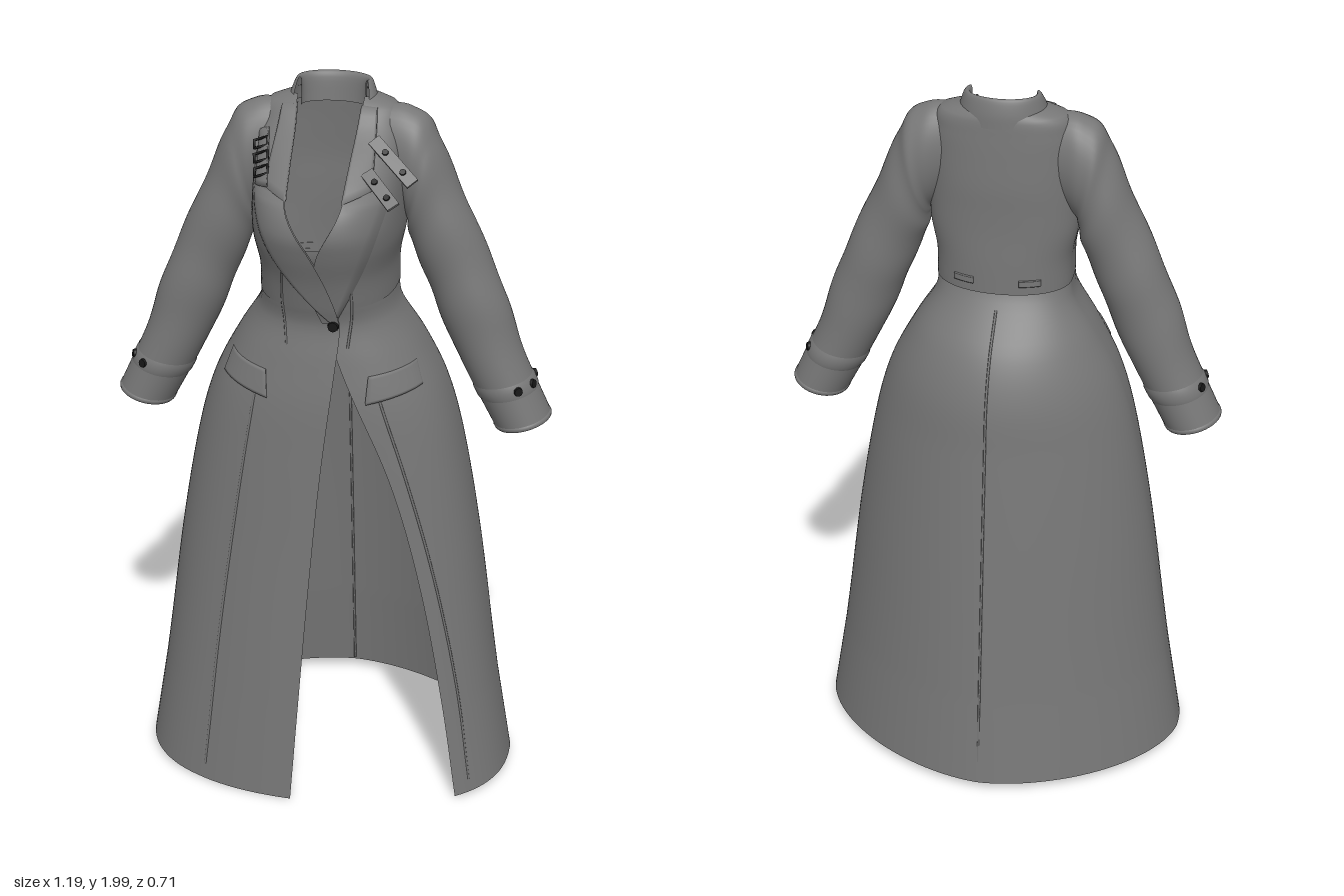
import * as THREE from 'three';

const cloth = new THREE.MeshStandardMaterial({ color: 0x777777, side: THREE.DoubleSide });
const dark = new THREE.MeshStandardMaterial({ color: 0x161616 });
const N = 2.5; // squareness of the front half of each cross-section

// Smooth interpolation of table rows, keyed by their first value
function sample(table, k) {
  const last = table.length - 1;
  k = Math.min(Math.max(k, table[0][0]), table[last][0]);
  let i = 0;
  while (i < last - 1 && k > table[i + 1][0]) i++;
  const a = table[i], b = table[i + 1], p = table[Math.max(i - 1, 0)], q = table[Math.min(i + 2, last)];
  const h = b[0] - a[0], t = (k - a[0]) / h, t2 = t * t, t3 = t2 * t;
  return a.slice(1).map((v, j) => {
    const c = j + 1;
    const m0 = (b[c] - p[c]) / (b[0] - p[0]) * h, m1 = (q[c] - a[c]) / (q[0] - a[0]) * h;
    return v * (2 * t3 - 3 * t2 + 1) + m0 * (t3 - 2 * t2 + t) + b[c] * (3 * t2 - 2 * t3) + m1 * (t3 - t2);
  });
}

// Cross-sections: height, half width, front z, back z, side z, squareness of the back half
const SKIRT = [
  [0, 0.52, 0.346, -0.355, 0.03, 1.68], [0.39, 0.463, 0.325, -0.313, 0.03, 1.7], [0.76, 0.411, 0.305, -0.272, 0.03, 1.75],
  [1.05, 0.357, 0.292, -0.238, 0.03, 1.8], [1.2, 0.312, 0.284, -0.218, 0.03, 1.85], [1.32, 0.25, 0.268, -0.17, 0.03, 1.95],
  [1.42, 0.188, 0.254, -0.09, 0.03, 2], [1.47, 0.178, 0.268, -0.06, 0.03, 2], [1.52, 0.172, 0.28, -0.055, 0.03, 2],
];
const BODICE = [
  [1.47, 0.18, 0.268, -0.093, 0.03, 2.1], [1.55, 0.18, 0.29, -0.09, 0.03, 2.2], [1.63, 0.195, 0.318, -0.086, 0.03, 2.2],
  [1.69, 0.197, 0.329, -0.085, 0.03, 2.2], [1.76, 0.195, 0.3, -0.085, 0.03, 2.2], [1.84, 0.19, 0.205, -0.08, 0.025, 2.2],
  [1.9, 0.182, 0.12, -0.075, 0.02, 2.2], [1.945, 0.165, 0.078, -0.07, 0.015, 2.1], [1.965, 0.108, 0.055, -0.062, 0.01, 2],
];
// Front opening: height, left edge x, right edge x
const EDGES = [
  [0, 0.392, -0.063], [0.33, 0.345, -0.04], [0.7, 0.275, -0.012], [1.0, 0.192, 0.015], [1.3, 0.065, 0.05],
  [1.42, 0.02, 0.06], [1.5, -0.005, 0.045], [1.63, 0.012, -0.003], [1.76, 0.072, -0.072], [1.965, 0.085, -0.085],
];

const section = y => sample(y < 1.47 ? SKIRT : BODICE, y);
function ringPoint([w, f, b, zc, nb], a) {
  const s = Math.sin(a), c = Math.cos(a), n = c < 0 ? nb : N;
  return [w * Math.sign(s) * Math.abs(s) ** (2 / n), zc + ((c < 0 ? b : f) - zc) * Math.abs(c) ** (2 / n)];
}
const edgeAngle = (x, w) => Math.sign(x) * Math.asin(Math.min(Math.abs(x) / w, 1) ** (N / 2));
function surfaceZ(x, y, back) {
  const [w, f, b, zc, nb] = section(y), k = Math.min(Math.abs(x) / w, 1), n = back ? nb : N;
  return zc + ((back ? b : f) - zc) * (1 - k ** n) ** (1 / n);
}

function grid(name, nu, nv, fn) {
  const pos = [], idx = [];
  for (let j = 0; j <= nv; j++) for (let i = 0; i <= nu; i++) {
    pos.push(...fn(i / nu, j / nv));
    if (i < nu && j < nv) {
      const a = j * (nu + 1) + i, d = a + nu + 1;
      idx.push(a, a + 1, d, a + 1, d + 1, d);
    }
  }
  const g = new THREE.BufferGeometry();
  g.setAttribute('position', new THREE.Float32BufferAttribute(pos, 3));
  g.setIndex(idx);
  g.computeVertexNormals();
  const m = new THREE.Mesh(g, cloth);
  m.name = name;
  return m;
}

// Wrapped shell running from the left opening edge round the back to the right edge
function shell(name, table, y0, y1, rows) {
  return grid(name, 96, rows, (u, v) => {
    let y = y0 + (y1 - y0) * v;
    const sec = sample(table, y), [xl, xr] = sample(EDGES, y);
    const a0 = edgeAngle(xl, sec[0]), a1 = 2 * Math.PI + edgeAngle(xr, sec[0]);
    const a = a0 + (a1 - a0) * u, [x, z] = ringPoint(sec, a);
    if (y < 0.3) y += (0.04 - 0.032 * Math.max(0, Math.cos(a))) * (1 - y / 0.3);
    return [x, y, z + 0.008 * Math.max(0, (u - 0.9) / 0.1)];
  });
}

// Raised cloth patch lying on the body; corners p0 p1 (top) and p3 p2 (bottom)
function patch(name, [p0, p1, p2, p3], lift = 0.012, back = false) {
  const n = 12, e = t => Math.min(Math.max((t * n - 1) / (n - 2), 0), 1);
  return grid(name, n, n, (u, v) => {
    const rim = u === 0 || u === 1 || v === 0 || v === 1;
    const s = e(u), t = e(v);
    const [x, y] = [0, 1].map(k => (p0[k] * (1 - s) + p1[k] * s) * (1 - t) + (p3[k] * (1 - s) + p2[k] * s) * t);
    return [x, y, surfaceZ(x, y, back) + (rim ? -0.002 : lift) * (back ? -1 : 1)];
  });
}

// Fine ridge following the body surface
function seam(name, pts, back) {
  const flat = new THREE.CatmullRomCurve3(pts.map(([x, y]) => new THREE.Vector3(x, y, 0))).getPoints(30);
  flat.forEach(p => { p.z = surfaceZ(p.x, p.y, back); });
  const m = new THREE.Mesh(new THREE.TubeGeometry(new THREE.CatmullRomCurve3(flat), 60, 0.0035, 6), cloth);
  m.name = name;
  return m;
}

function stud(name, p, dir, r) {
  const m = new THREE.Mesh(new THREE.CylinderGeometry(r * 0.85, r, r * 0.7, 16), dark);
  m.name = name;
  m.position.set(...p);
  m.quaternion.setFromUnitVectors(new THREE.Vector3(0, 1, 0), new THREE.Vector3(...dir).normalize());
  return m;
}

// Loose strap between two points, with two eyelets
function looseStrap(from, to) {
  const g = new THREE.Group(), a = new THREE.Vector3(...from), b = new THREE.Vector3(...to);
  const x = b.clone().sub(a).normalize(), z = new THREE.Vector3().crossVectors(x, new THREE.Vector3(0, 0.7, 0.7)).normalize();
  const y = new THREE.Vector3().crossVectors(z, x), len = a.distanceTo(b);
  g.name = 'shoulderStrap';
  g.add(new THREE.Mesh(new THREE.BoxGeometry(len, 0.008, 0.034), cloth));
  for (const s of [-0.2, 0.25]) g.add(stud('strapEyelet', [s * len, 0.005, 0], [0, 1, 0], 0.009));
  g.quaternion.setFromRotationMatrix(new THREE.Matrix4().makeBasis(x, y, z));
  g.position.copy(a.lerp(b, 0.5));
  return g;
}

// Sleeve rings: station, outer x y, inner x y, half depth
const SLEEVE = [
  [0, 0.14, 1.948, 0.165, 1.69, 0.07], [1, 0.2, 1.943, 0.19, 1.665, 0.082], [2, 0.25, 1.912, 0.197, 1.645, 0.087],
  [3, 0.283, 1.85, 0.2, 1.62, 0.088], [4, 0.335, 1.73, 0.212, 1.575, 0.087], [5, 0.405, 1.575, 0.25, 1.485, 0.086],
  [6, 0.465, 1.43, 0.29, 1.38, 0.086], [7, 0.513, 1.286, 0.35, 1.25, 0.084], [8, 0.593, 1.11, 0.445, 1.07, 0.088],
];
function sleevePoint(side, t, a, s = 1) {
  const [ox, oy, ix, iy, r] = sample(SLEEVE, t), c = -Math.cos(a) * s;
  return [side * ((ox + ix) / 2 + c * (ox - ix) / 2), (oy + iy) / 2 + c * (oy - iy) / 2,
    0.025 + Math.sin(a) * r * s];
}
function sleeve(side, label) {
  const g = new THREE.Group();
  g.name = label + 'Sleeve';
  const tau = Math.PI * 2;
  g.add(grid('sleeveBody', 40, 56, (u, v) => {
    const crease = 1 + 0.02 * Math.sin(v * 34 + Math.sin(u * tau) * 2) * Math.sin(v * Math.PI);
    return sleevePoint(side, v * 8, u * tau, crease);
  }));
  // Narrow raised bands: cuff strap and hem
  const band = (name, t0, t1, s) => g.add(grid(name, 40, 4, (u, v) =>
    sleevePoint(side, t0 + (t1 - t0) * v, u * tau, v === 0 || v === 1 ? 0.99 : s)));
  band('cuffStrap', 7.32, 7.56, 1.035);
  band('cuffHem', 7.93, 8, 1.02);
  for (const a of [2.1, 2.75, 3.6]) {
    const p = sleevePoint(side, 7.44, a, 1.04), c = sleevePoint(side, 7.44, a, 0);
    g.add(stud('cuffStud', p, p.map((v, i) => v - c[i]), 0.013));
  }
  return g;
}

// Turned-over collar: rings from the outer edge up over the fold and down inside; last two: height, end angle
const COLLAR = [
  [0, 0.122, 0.09, -0.076, 0.01, 2, 1.925, 0.95], [1, 0.112, 0.075, -0.073, 0.008, 2, 1.96, 1], [2, 0.1, 0.05, -0.064, 0, 2, 1.993, 1.1],
  [3, 0.091, 0.045, -0.055, 0, 2, 2.0, 1.2], [4, 0.084, 0.05, -0.044, 0.005, 2, 1.985, 1.35], [5, 0.085, 0.06, -0.036, 0.01, 2, 1.925, 1.5],
];

export function createModel() {
  const coat = new THREE.Group();
  coat.name = 'longCoat';
  coat.add(shell('skirt', SKIRT, 0, 1.5, 70), shell('bodice', BODICE, 1.47, 1.965, 56));
  coat.add(grid('collar', 48, 20, (u, v) => {
    const r = sample(COLLAR, v * 5), [x, z] = ringPoint(r, r[6] + u * 2 * (Math.PI - r[6]));
    return [x, r[5], z];
  }));

  for (const s of [1, -1]) {
    const label = s > 0 ? 'left' : 'right', flip = pts => pts.map(([x, y]) => [s * x, y]);
    coat.add(sleeve(s, label));
    coat.add(patch(label + 'CollarFront', flip([[0.082, 1.95], [0.122, 1.945], [0.138, 1.785], [0.07, 1.765]])));
    // Lapel follows the opening edge and tapers to the button
    const outer = [[1.43, 0.05], [1.5, 0.085], [1.6, 0.13], [1.7, 0.163], [1.775, 0.182]];
    coat.add(grid(label + 'Lapel', 10, 24, (u, v) => {
      const y = 1.43 + v * 0.345, inner = sample(EDGES, y)[s > 0 ? 0 : 1];
      const edge = s > 0 ? sample(outer, y)[0] : -sample(outer, y)[0] + 0.09 * (1 - v) ** 2;
      const x = inner + (edge - inner) * u;
      return [x, y, surfaceZ(x, y) + (u === 1 || v === 1 ? 0 : 0.013) + (s < 0 ? 0.004 : 0)];
    }));
    coat.add(patch(label + 'PocketFlap', flip([[0.135, 1.285], [0.245, 1.298], [0.265, 1.24], [0.13, 1.213]]), 0.008));
    coat.add(patch(label + 'BackTab', flip([[0.06, 1.512], [0.115, 1.512], [0.115, 1.495], [0.06, 1.495]]), 0.006, true));
    coat.add(seam(label + 'BodiceSeam', flip([[0.08, 1.36], [0.09, 1.48], [0.082, 1.6], [0.08, 1.72]])));
  }
  coat.add(seam('rightFrontSeam', [[-0.318, 0.06], [-0.27, 0.5], [-0.215, 0.9], [-0.165, 1.22]]));
  coat.add(seam('leftFrontSeam', [[0.425, 0.06], [0.385, 0.35], [0.315, 0.7], [0.235, 1.0], [0.165, 1.22]]));
  coat.add(seam('backSeam', [[0, 0.05], [0, 0.5], [0, 1.0], [0, 1.25], [0, 1.42]], true));
  coat.add(stud('frontButton', [0.045, 1.425, surfaceZ(0.045, 1.425) + 0.02], [0, 0, 1], 0.015));

  // Left shoulder: two loose straps
  coat.add(looseStrap([0.125, 1.885, 0.14], [0.235, 1.8, 0.21]), looseStrap([0.12, 1.825, 0.215], [0.2, 1.765, 0.29]));
  // Right shoulder: strap carrying square buckles
  coat.add(patch('buckleStrap', [[-0.18, 1.88], [-0.15, 1.89], [-0.125, 1.785], [-0.165, 1.775]], 0.016));
  for (const [x, y] of [[-0.165, 1.86], [-0.158, 1.835], [-0.15, 1.81]]) {
    const b = new THREE.Mesh(new THREE.TorusGeometry(0.026, 0.005, 6, 4), dark);
    b.name = 'buckle';
    b.geometry.rotateZ(Math.PI / 4);
    b.scale.y = 0.65;
    b.position.set(x, y, surfaceZ(x, y) + 0.022);
    b.rotation.set(-0.8, -0.3, 0.2);
    coat.add(b);
  }
  return coat;
}
